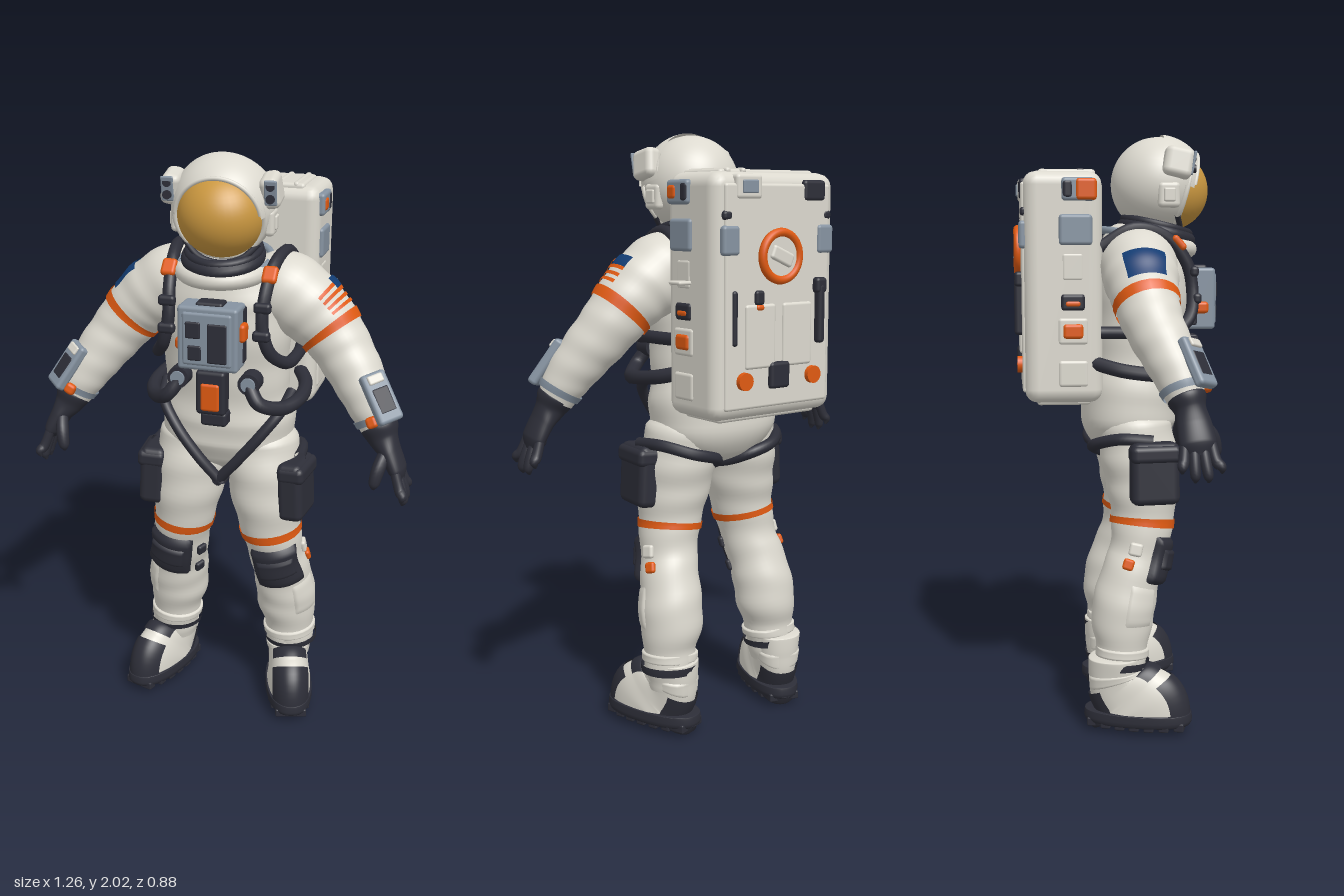
import * as THREE from 'three';
import { mergeVertices } from 'three/addons/utils/BufferGeometryUtils.js';
import { RoundedBoxGeometry } from 'three/addons/geometries/RoundedBoxGeometry.js';

const V = (x, y, z) => new THREE.Vector3(x, y, z);
const mat = (name, color) => {
  const m = new THREE.MeshStandardMaterial({ color, side: THREE.DoubleSide });
  m.name = name;
  return m;
};

export function createModel() {
  const white = mat('suit white', 0xdcd9cf), dark = mat('charcoal', 0x2d2e38), grey = mat('blue grey', 0x8693a1);
  const orange = mat('orange', 0xe05a12), gold = mat('visor gold', 0xcb9840), blue = mat('navy blue', 0x123c72);

  const add = (parent, name, geo, material, pos = [0, 0, 0], rot = [0, 0, 0]) => {
    const m = new THREE.Mesh(geo, material);
    m.name = name;
    m.position.set(...pos);
    m.rotation.set(...rot);
    parent.add(m);
    return m;
  };
  const group = (parent, name, pos = [0, 0, 0], ry = 0) => {
    const g = new THREE.Group();
    g.name = name;
    g.position.set(...pos);
    g.rotation.y = ry;
    parent.add(g);
    return g;
  };
  const box = (w, h, d, r = 0.012) => new RoundedBoxGeometry(w, h, d, 2, Math.min(r, w / 2.1, h / 2.1, d / 2.1));
  const tube = (pts, r) => new THREE.TubeGeometry(new THREE.CatmullRomCurve3(pts.map(p => V(...p))), 48, r, 10);
  const disc = (r, h) => new THREE.CylinderGeometry(r, r, h, 24).rotateX(Math.PI / 2);

  // Soft limb: rows of [x, y, z, radius across, radius front to back]
  const limb = (rows, ripple = 0, folds = 0, power = 1) => {
    const path = new THREE.CatmullRomCurve3(rows.map(r => V(r[0], r[1], r[2])));
    const radii = new THREE.CatmullRomCurve3(rows.map(r => V(r[3], r[4] ?? r[3], 0)));
    const n = rows.length - 1;
    const at = (i, a, off = 0) => {
      const t = THREE.MathUtils.clamp(i / n, 0, 1);
      const C = path.getPoint(t), T = path.getTangent(t), R = radii.getPoint(t);
      const N = V(0, 0, 1).addScaledVector(T, -T.z).normalize(), B = T.clone().cross(N);
      const k = 1 + ripple * Math.sin(t * folds * Math.PI * 2 + Math.sin(a) * 1.5);
      const c = Math.cos(a), s = Math.sin(a), bend = x => Math.sign(x) * Math.abs(x) ** power;
      const out = N.clone().multiplyScalar(c).addScaledVector(B, s);
      const P = C.addScaledVector(N, bend(c) * (R.y * k + off)).addScaledVector(B, bend(s) * (R.x * k + off));
      return { P, T, out };
    };
    // Surface between two rows and two angles; soft patches sink at their edges
    const skin = (i0 = 0, i1 = n, a0 = -Math.PI, a1 = Math.PI, off = 0, soft = false, nu = 40, nv = 60) => {
      const g = new THREE.PlaneGeometry(1, 1, nu, nv), p = g.attributes.position;
      for (let j = 0; j < p.count; j++) {
        const u = p.getX(j) + 0.5, v = p.getY(j) + 0.5;
        const e = soft ? Math.min(1, 9 * Math.min(u, 1 - u, v, 1 - v)) : 1;
        const q = at(i0 + (i1 - i0) * v, a0 + (a1 - a0) * u, off * e - (soft ? 0.003 : 0)).P;
        p.setXYZ(j, q.x, q.y, q.z);
      }
      g.deleteAttribute('uv');
      g.deleteAttribute('normal');
      const m = mergeVertices(g, 1e-5);
      m.computeVertexNormals();
      return m;
    };
    const stick = (mesh, i, a, off) => {
      const { P, T, out } = at(i, a, off), y = T.clone().multiplyScalar(T.y < 0 ? -1 : 1);
      const x = y.clone().cross(out).normalize();
      mesh.position.copy(P);
      mesh.quaternion.setFromRotationMatrix(new THREE.Matrix4().makeBasis(x, y, out));
    };
    return { skin, stick };
  };
  const patch = (parent, name, l, m, i0, i1, a0, a1, off, soft = false) =>
    add(parent, name, l.skin(i0, i1, a0, a1, off, soft, 24, 12), m);

  const model = new THREE.Group();
  model.name = 'astronaut';
  const body = group(model, 'body', [0.045, 0, 0.02], -0.37);

  // Torso
  const torso = limb([[0, 0.9, -0.03, 0.05, 0.05], [0, 0.95, -0.035, 0.17, 0.13], [0, 1.03, -0.04, 0.228, 0.165],
    [0, 1.12, -0.035, 0.232, 0.168], [0, 1.22, -0.02, 0.212, 0.152], [0, 1.32, -0.01, 0.212, 0.155],
    [0, 1.43, 0, 0.218, 0.162], [0, 1.53, 0, 0.215, 0.16], [0, 1.61, 0.01, 0.17, 0.142],
    [0, 1.66, 0.02, 0.125, 0.122], [0, 1.69, 0.03, 0.05, 0.05]], 0.008, 7, 0.88);
  add(body, 'torso', torso.skin(), white);
  add(body, 'collar', new THREE.TorusGeometry(0.135, 0.03, 12, 40), white, [0, 1.63, 0.035], [1.68, 0, 0]);
  add(body, 'collarTrim', new THREE.TorusGeometry(0.15, 0.012, 10, 40), grey, [0, 1.655, 0.015], [1.75, 0, 0]);
  add(body, 'neckRing', new THREE.TorusGeometry(0.114, 0.024, 12, 40), dark, [0.006, 1.672, 0.06], [1.8, 0, 0]);
  add(body, 'neckRingTrim', new THREE.TorusGeometry(0.115, 0.014, 10, 40), dark, [0.008, 1.695, 0.06], [1.8, 0, 0]);

  // Helmet: open shell, rim, gold visor, brow hood and side lamps
  const head = group(body, 'helmet', [0.012, 1.833, 0.065], 0.06);
  const tilt = group(head, 'helmetShell');
  tilt.rotation.x = 0.25;
  const dome = (r, t0, t1, p0 = 0, pl = Math.PI * 2) =>
    new THREE.SphereGeometry(r, 40, 28, p0, pl, t0, t1 - t0).rotateX(Math.PI / 2);
  add(tilt, 'shell', dome(0.162, 1.08, Math.PI), white);
  add(tilt, 'visorRim', new THREE.TorusGeometry(0.144, 0.009, 10, 48), white, [0, 0, 0.076]).scale.y = 0.96;
  add(tilt, 'visor', new THREE.SphereGeometry(0.144, 40, 28), gold, [0, -0.008, 0.033]).scale.set(1, 0.95, 1);
  add(tilt, 'browHood', dome(0.17, 0.94, 1.75, Math.PI * 1.02, Math.PI * 0.96), white);
  add(tilt, 'browHoodEdge', new THREE.TorusGeometry(0.137, 0.007, 10, 40, Math.PI * 0.9), white, [0, 0, 0.1], [0, 0, Math.PI * 0.05]);
  add(tilt, 'chinBar', tube([[-0.12, -0.09, 0.07], [-0.07, -0.128, 0.1], [0, -0.143, 0.11], [0.07, -0.128, 0.1], [0.12, -0.09, 0.07]], 0.01), dark);
  for (const s of [-1, 1]) {
    add(head, 'lampHousing', box(0.06, 0.1, 0.1, 0.022), white, [s * 0.158, 0.065, 0.04], [0.2, 0, s * 0.15]);
    add(head, 'lampPlate', box(0.04, 0.08, 0.01), grey, [s * 0.163, 0.063, 0.088], [0.2, 0, 0]);
    for (const y of [0.045, 0.083]) add(head, 'lamp', disc(0.014, 0.012), dark, [s * 0.163, y, 0.092]);
    add(head, 'earPod', box(0.035, 0.085, 0.075, 0.015), white, [s * 0.15, -0.04, 0.01]);
    add(head, 'earPodCover', box(0.012, 0.045, 0.04), white, [s * 0.168, -0.04, 0.01]);
  }

  // Chest unit
  const chest = group(body, 'chestUnit', [0.01, 1.447, 0.203]);
  for (const [name, m, w, h, d, x, y, z] of [
    ['chestBox', grey, 0.2, 0.21, 0.1, 0, 0, 0], ['chestFrame', dark, 0.206, 0.19, 0.05, 0, 0, -0.035],
    ['chestFace', grey, 0.165, 0.175, 0.02, 0, 0, 0.046], ['chestScreen', dark, 0.065, 0.13, 0.012, 0.035, -0.01, 0.055],
    ['chestButtons', dark, 0.05, 0.055, 0.012, -0.045, 0.03, 0.055], ['chestDial', dark, 0.045, 0.05, 0.012, -0.04, -0.045, 0.055],
    ['chestCap', dark, 0.09, 0.02, 0.06, 0, 0.105, 0], ['sideKnob', orange, 0.025, 0.06, 0.05, 0.105, 0.02, 0],
    ['sideKnob', orange, 0.025, 0.04, 0.05, -0.105, -0.03, 0], ['buckle', dark, 0.1, 0.15, 0.06, -0.006, -0.2, -0.03],
    ['buckleFace', orange, 0.065, 0.095, 0.02, -0.006, -0.213, -0.003], ['buckleLatch', dark, 0.09, 0.05, 0.06, 0, -0.295, -0.045]])
    add(chest, name, box(w, h, d), m, [x, y, z]);

  // Life support pack
  const pack = group(body, 'backpack', [0.026, 1.485, -0.273]);
  for (const [name, m, w, h, d, x, y, z] of [
    ['packShell', white, 0.49, 0.76, 0.26, 0, 0, 0], ['packLid', white, 0.38, 0.03, 0.19, 0, 0.373, 0.015],
    ['packBackPlate', white, 0.42, 0.69, 0.02, 0, 0, -0.127], ['lowerPanel', white, 0.12, 0.2, 0.02, 0.075, -0.12, -0.135],
    ['lowerPanel', white, 0.12, 0.2, 0.02, -0.075, -0.12, -0.135], ['packFoot', white, 0.4, 0.03, 0.18, 0, -0.375, 0],
    ['topBox', white, 0.1, 0.075, 0.05, 0.12, 0.335, -0.118], ['topBoxScreen', grey, 0.06, 0.04, 0.01, 0.12, 0.335, -0.144],
    ['topBox', dark, 0.09, 0.065, 0.04, -0.145, 0.325, -0.122], ['backValve', dark, 0.08, 0.085, 0.03, 0, -0.245, -0.138],
    ['backSlot', dark, 0.02, 0.17, 0.02, 0.175, -0.06, -0.135], ['handleBar', dark, 0.028, 0.19, 0.035, -0.165, -0.06, -0.144],
    ['handleGrip', dark, 0.045, 0.05, 0.04, -0.165, 0.03, -0.14],
    ['clip', dark, 0.035, 0.045, 0.02, 0.08, 0.0, -0.138], ['clip', orange, 0.03, 0.018, 0.025, 0.08, -0.03, -0.138],
    ['lidRib', white, 0.02, 0.02, 0.2, 0.16, 0.382, 0.01], ['lidRib', white, 0.02, 0.02, 0.2, 0.1, 0.382, 0.01],
    ['lidCatch', dark, 0.03, 0.02, 0.03, -0.17, 0.382, 0.06], ['sidePlate', white, 0.07, 0.012, 0.06, 0.255, 0.045, 0.02]])
    add(pack, name, box(w, h, d, name === 'packShell' ? 0.045 : 0.012), m, [x, y, z]);
  add(pack, 'portRing', new THREE.TorusGeometry(0.073, 0.014, 12, 40), orange, [0, 0.125, -0.146]);
  add(pack, 'portBase', disc(0.073, 0.03), white, [0, 0.125, -0.136]);
  add(pack, 'portBar', box(0.09, 0.045, 0.02), white, [0, 0.125, -0.15], [0, 0, 0.4]);
  for (const s of [-1, 1]) {
    const glow = s < 0 ? 0.07 : 0.045;
    add(pack, 'backKnob', disc(0.028, 0.03), orange, [s * 0.14, -0.255, -0.138]);
    for (const [name, m, w, h, d, y, z] of [
      ['sideModule', grey, 0.035, 0.1, 0.11, 0.19, 0.04], ['sideModuleTop', grey, 0.04, 0.075, 0.11, 0.32, 0.05],
      ['sideLight', orange, 0.05, glow, glow, 0.32, 0.075], ['sideLightBase', dark, 0.046, 0.06, 0.035, 0.32, 0.015],
      ['sideClip', dark, 0.03, 0.055, 0.08, -0.045, 0.03], ['sideClipTab', orange, 0.036, 0.022, 0.055, -0.05, 0.03],
      ['sideFrame', white, 0.025, 0.09, 0.1, -0.14, 0.03], ['sideButton', orange, 0.04, 0.05, 0.068, -0.14, 0.03],
      ['sideRail', white, 0.02, 0.09, 0.07, 0.07, 0.03], ['sidePocket', white, 0.025, 0.09, 0.1, -0.28, 0.03]])
      add(pack, name, box(w, h, d), m, [s * 0.238, y, z]);
    add(pack, 'cornerModule', box(0.065, 0.09, 0.03), grey, [s * 0.19, 0.175, -0.13]);
    add(pack, 'cornerClip', box(0.035, 0.03, 0.03), dark, [s * 0.2, 0.25, -0.125]);
  }

  for (const s of [1, -1]) {
    const side = s > 0 ? 'left' : 'right';

    // Arm with band, patch and forearm panel
    const arm = group(body, side + 'Arm', [0.008, 0, 0]);
    arm.scale.x = s;
    const sleeve = limb([[0.09, 1.56, -0.025, 0.09], [0.18, 1.555, -0.022, 0.128], [0.265, 1.505, -0.02, 0.122],
      [0.332, 1.447, -0.014, 0.107], [0.393, 1.372, 0.004, 0.097], [0.45, 1.296, 0.036, 0.088],
      [0.502, 1.218, 0.068, 0.077], [0.538, 1.15, 0.088, 0.06]], 0.014, 8);
    add(arm, 'sleeve', sleeve.skin(), white);
    patch(arm, 'armBand', sleeve, orange, 3.06, 3.36, -Math.PI, Math.PI, 0.005);
    if (s < 0) patch(arm, 'shoulderPatch', sleeve, blue, 1.85, 2.85, -2.15, -1.0, 0.005);
    else {
      patch(arm, 'patchCorner', sleeve, blue, 1.95, 2.34, -1.95, -1.35, 0.005);
      for (let k = 0; k < 4; k++) patch(arm, 'patchStripe', sleeve, orange, 2.12 + k * 0.22, 2.23 + k * 0.22, k < 1 ? -1.35 : -1.95, -0.65, 0.005);
    }
    patch(arm, 'cuffRing', sleeve, grey, 6.45, 6.75, -Math.PI, Math.PI, 0.007);
    const stuck = (name, g, m, i, a, off) => sleeve.stick(add(arm, name, g, m), i, a, off);
    stuck('forearmPanel', box(0.09, 0.17, 0.035), grey, 5.95, -0.8, 0.003);
    stuck('forearmScreen', box(0.06, 0.085, 0.012), dark, 6.05, -0.8, 0.018);
    stuck('forearmLabel', box(0.055, 0.03, 0.012), white, 5.4, -0.8, 0.018);
    stuck('forearmButton', box(0.038, 0.038, 0.03), orange, 6.65, -0.05, 0.008);

    // Glove
    const hand = group(arm, side + 'Hand', [0.008, -0.02, -0.025]);
    const palm = limb([[0.515, 1.2, 0.105, 0.03], [0.528, 1.175, 0.113, 0.062], [0.545, 1.14, 0.122, 0.05],
      [0.57, 1.1, 0.13, 0.036, 0.055], [0.598, 1.045, 0.138, 0.03, 0.058], [0.612, 1.01, 0.142, 0.012, 0.03]]);
    add(hand, 'glove', palm.skin(), dark);
    for (let f = 0; f < 4; f++) {
      const o = f - 1.5, tip = 0.925 + 0.014 * o * o;
      const finger = limb([[0.596, 1.05, 0.138 + o * 0.027, 0.016], [0.618, 0.99, 0.142 + o * 0.034, 0.0175],
        [0.628, tip + 0.02, 0.146 + o * 0.04, 0.016], [0.624, tip, 0.147 + o * 0.041, 0.004]]);
      add(hand, 'finger', finger.skin(0, 3, -Math.PI, Math.PI, 0, false, 12, 14), dark);
    }
    const thumb = limb([[0.56, 1.11, 0.15, 0.02], [0.545, 1.06, 0.19, 0.022], [0.535, 1.01, 0.205, 0.018], [0.533, 0.99, 0.205, 0.004]]);
    add(hand, 'thumb', thumb.skin(0, 3, -Math.PI, Math.PI, 0, false, 12, 14), dark);

    // Harness and hoses
    const rig = group(body, side + 'Harness', [0.008, 0, 0]);
    rig.scale.x = s;
    add(rig, 'shoulderStrap', tube([[0.19, 1.62, -0.15], [0.185, 1.68, -0.04], [0.17, 1.655, 0.07], [0.16, 1.575, 0.14],
      [0.157, 1.48, 0.163], [0.18, 1.39, 0.152], [0.22, 1.34, 0.09], [0.235, 1.34, -0.02], [0.22, 1.34, -0.15]], 0.021), dark);
    add(rig, 'strapTab', box(0.05, 0.06, 0.025), orange, [0.168, 1.635, 0.115], [-0.75, 0, 0]);
    for (const [y, z] of [[1.54, 0.167], [1.45, 0.177]]) add(rig, 'strapBuckle', box(0.058, 0.035, 0.03), dark, [0.159, y, z]);
    add(rig, 'hosePort', disc(0.036, 0.06), dark, [0.12, 1.285, 0.155]);
    add(rig, 'hosePortCap', disc(0.024, 0.075), grey, [0.12, 1.285, 0.155]);
    add(rig, 'airHose', tube([[0.12, 1.275, 0.17], [0.155, 1.225, 0.185], [0.215, 1.195, 0.13], [0.255, 1.2, 0.04], [0.25, 1.215, -0.08], [0.2, 1.24, -0.18]], 0.024), dark);
    add(rig, 'frontStrap', tube([[-0.01, 0.895, 0.115], [0.07, 0.99, 0.13], [0.15, 1.09, 0.12], [0.205, 1.165, 0.08], [0.222, 1.21, 0]], 0.019), dark);
    add(rig, 'legStrap', tube([[0.26, 0.98, 0.02], [0.242, 0.985, -0.09], [0.17, 0.96, -0.165], [0.08, 0.935, -0.165], [0.02, 0.9, -0.08], [0, 0.89, 0.08]], 0.02), dark);

    // Leg
    const leg = group(body, side + 'Leg', [0.003, 0, 0]);
    leg.scale.x = s;
    const trouser = limb([[0.225, 0.14, -0.09, 0.07], [0.225, 0.2, -0.09, 0.083], [0.22, 0.28, -0.085, 0.09],
      [0.208, 0.38, -0.08, 0.108], [0.198, 0.48, -0.06, 0.104], [0.18, 0.58, -0.028, 0.098], [0.163, 0.69, -0.008, 0.106],
      [0.147, 0.8, -0.005, 0.122], [0.132, 0.91, -0.015, 0.131], [0.118, 1.02, -0.03, 0.125], [0.11, 1.1, -0.03, 0.06]], 0.02, 9);
    add(leg, 'trouser', trouser.skin(), white);
    patch(leg, 'thighBand', trouser, orange, 5.88, 6.12, -Math.PI, Math.PI, 0.005);
    patch(leg, 'kneePad', trouser, dark, 4.2, 5.65, -0.75, 1.15, 0.022, true);
    patch(leg, 'kneePadRidge', trouser, dark, 4.7, 5.35, -0.5, 0.9, 0.032, true);
    patch(leg, 'shinPanel', trouser, white, 2.6, 4.1, 0.5, 1.6, 0.008, true);
    patch(leg, 'ankleStrap', trouser, dark, 1.0, 1.32, -Math.PI, Math.PI, 0.012);
    patch(leg, 'ankleCuff', trouser, white, 1.45, 1.85, -Math.PI, Math.PI, 0.012, true);
    const tags = [['kneeTag', orange, 4.6, 0.038, 1.85], ['kneePocket', white, 5.15, 0.045, 1.75]];
    if (s < 0) tags.push(['kneeClip', dark, 5.15, 0.04, -1.1], ['kneeClip', dark, 4.4, 0.04, -1.1]);
    for (const [name, m, i, w, a] of tags) trouser.stick(add(leg, name, box(w, w, 0.02), m), i, a, 0.004);
    add(leg, 'thighPouch', box(0.09, 0.21, 0.165, 0.025), dark, [0.255, 0.872, 0.022], [0, -0.1, 0.05]);
    add(leg, 'pouchFlap', box(0.097, 0.06, 0.17, 0.02), dark, [0.257, 0.938, 0.022], [0, -0.1, 0.05]);

    // Boot
    const boot = group(leg, side + 'Boot', s > 0 ? [0.215, 0, -0.097] : [0.235, 0, -0.115], 0.3);
    const upper = limb([[0, 0.03, 0.085, 0.078, 0.178], [0, 0.06, 0.083, 0.08, 0.174], [0, 0.1, 0.056, 0.074, 0.146],
      [0, 0.135, 0.02, 0.072, 0.108], [0, 0.18, 0.005, 0.078, 0.09], [0, 0.235, 0.005, 0.086, 0.09], [0, 0.245, 0.005, 0.04, 0.04]], 0, 0, 0.9);
    add(boot, 'bootUpper', upper.skin(), white);
    patch(boot, 'toeCap', upper, dark, 0, 1.6, -0.85, 0.85, 0.006);
    patch(boot, 'heelCap', upper, dark, 0, 3.3, 2.0, Math.PI * 2 - 2.0, 0.007);
    patch(boot, 'tongue', upper, dark, 2.05, 2.75, -0.85, 0.85, 0.006);
    patch(boot, 'bootStrap', upper, white, 3.4, 4.1, -Math.PI, Math.PI, 0.008, true);
    const sole = limb([[0, 0.012, 0.085, 0.02, 0.05], [0, 0.013, 0.085, 0.08, 0.178], [0, 0.03, 0.085, 0.086, 0.187],
      [0, 0.054, 0.085, 0.085, 0.184], [0, 0.058, 0.085, 0.05, 0.1]], 0, 0, 0.85);
    add(boot, 'sole', sole.skin(), dark);
    for (let k = 0; k < 7; k++) {
      const z = -0.065 + k * 0.05, w = 0.16 * Math.sqrt(1 - ((z - 0.085) / 0.21) ** 2);
      add(boot, 'tread', box(w, 0.03, 0.034, 0.005), dark, [0, 0.015, z]);
    }
  }
  return model;
}
